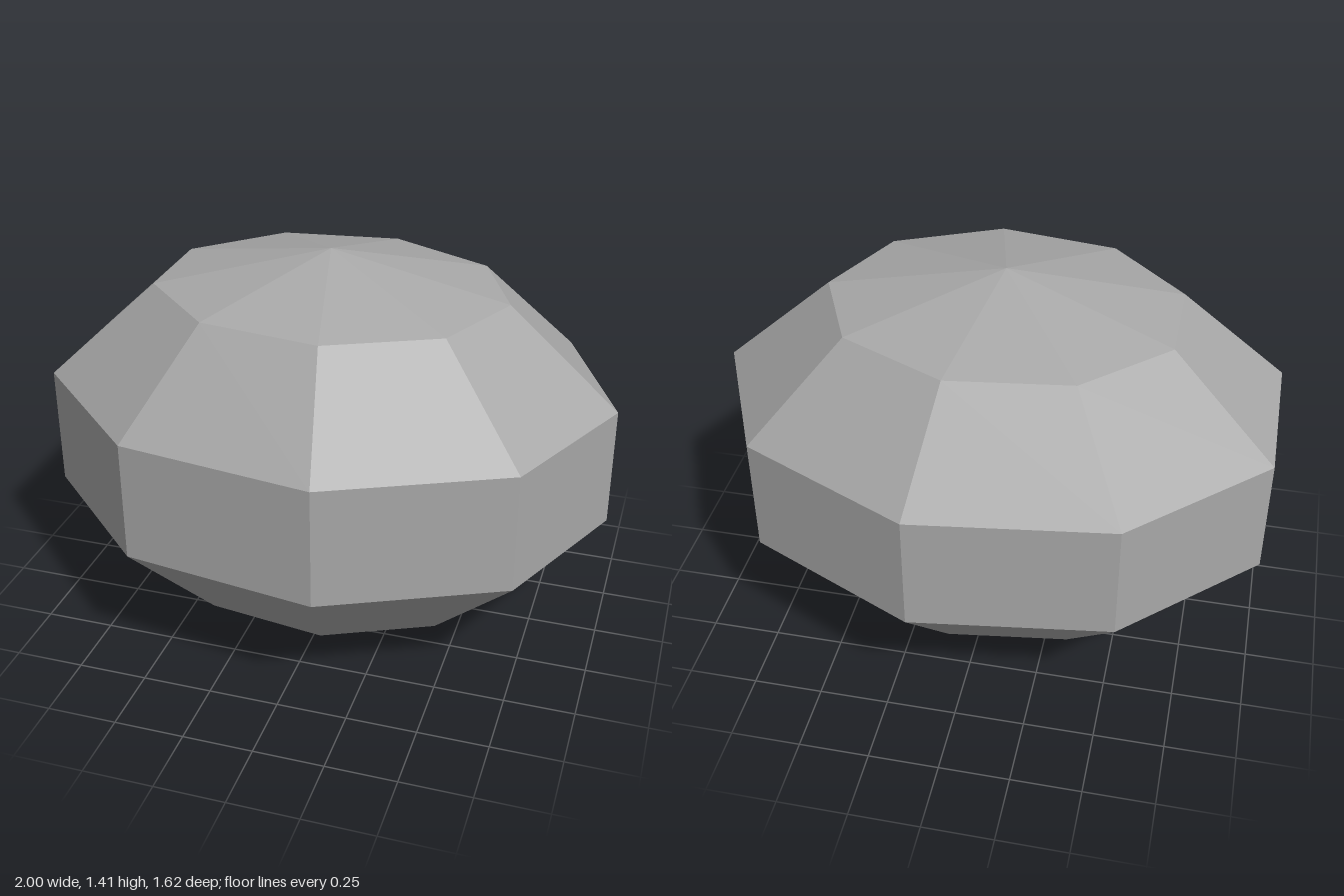
import * as THREE from 'three';

export function createModel() {
  const group = new THREE.Group();
  group.name = 'boulder';

  const stoneGrey = new THREE.MeshStandardMaterial({ color: 0xa8a8a8, flatShading: true });
  stoneGrey.name = 'stone grey';

  // Low-poly ellipsoid: nine sides, five bands, one corner pointing to +x
  const geometry = new THREE.SphereGeometry(1, 9, 5, Math.PI);
  geometry.scale(1.084, 0.704, 0.865);

  const stone = new THREE.Mesh(geometry, stoneGrey);
  stone.name = 'stone';
  // The odd number of sides makes the outline lopsided, so shift it to centre
  stone.position.set(-0.031, 0.705, 0);
  group.add(stone);

  return group;
}
